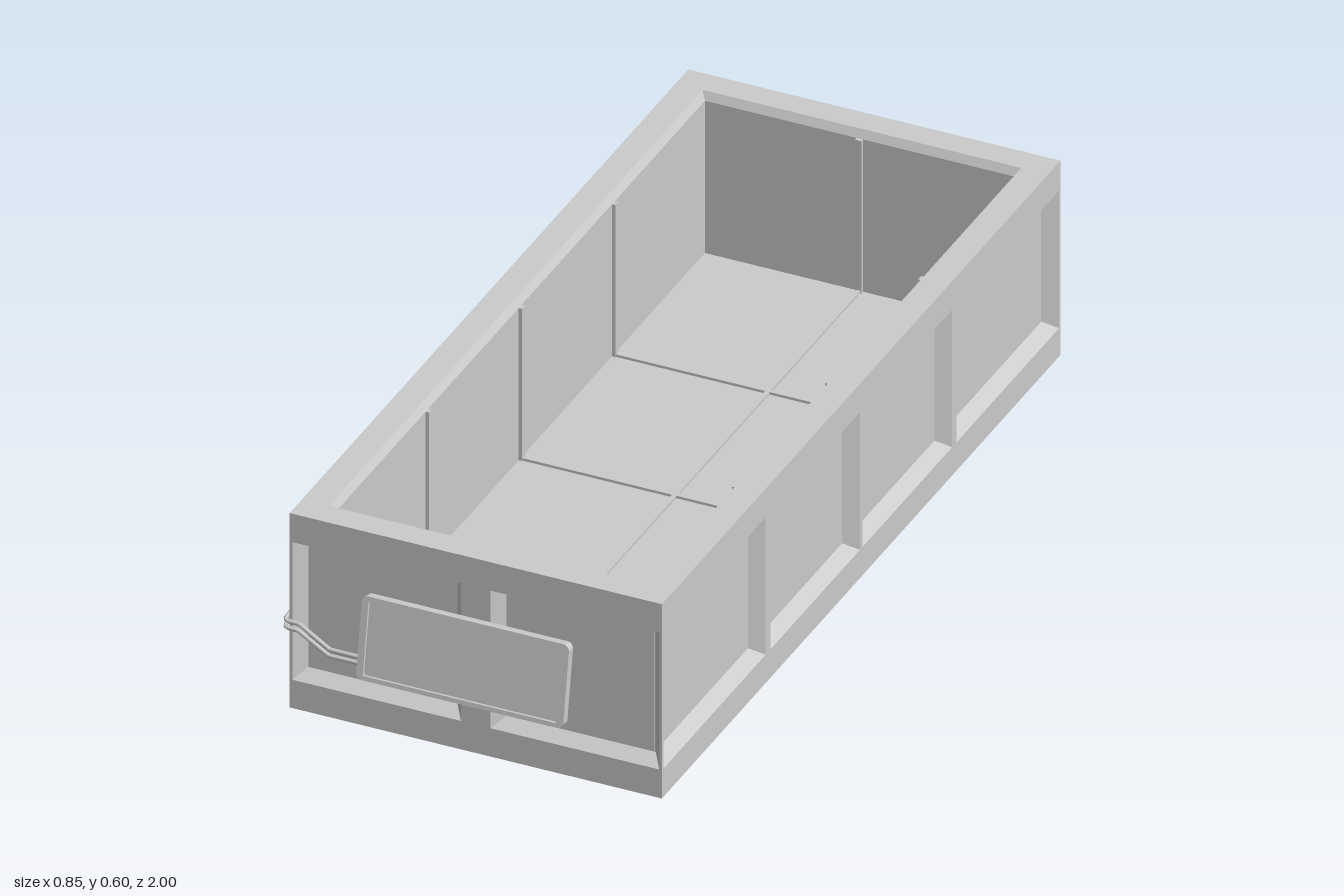
import * as THREE from 'three';
import { toCreasedNormals } from 'three/addons/utils/BufferGeometryUtils.js';

const mat = new THREE.MeshStandardMaterial({ color: 0xcccccc });
const CX = 0.0035, CZ = -0.04, HX = 0.4205, HZ = 0.96, Y0 = 0.137, Y1 = 0.603;

function add(parent, name, geo, x = 0, y = 0, z = 0) {
  const m = new THREE.Mesh(geo, mat);
  m.name = name;
  m.position.set(x, y, z);
  parent.add(m);
  return m;
}

// Nested rectangles [halfWidth, halfHeight, depth] joined by faces and capped, facing +z
function nest(rects) {
  const loops = rects.map(([w, h, d]) => [[-w, -h, d], [w, -h, d], [w, h, d], [-w, h, d]]);
  const pos = [];
  const quad = (a, b, c, d) => pos.push(...a, ...b, ...c, ...a, ...c, ...d);
  for (let k = 0; k + 1 < loops.length; k++) {
    for (let i = 0; i < 4; i++) {
      const j = (i + 1) % 4;
      quad(loops[k][i], loops[k][j], loops[k + 1][j], loops[k + 1][i]);
    }
  }
  quad(...loops[loops.length - 1]);
  const g = new THREE.BufferGeometry();
  g.setAttribute('position', new THREE.Float32BufferAttribute(pos, 3));
  g.computeVertexNormals();
  return g;
}

function rectPath(P, x0, y0, x1, y1) {
  const p = new P();
  p.moveTo(x0, y0).lineTo(x1, y0).lineTo(x1, y1).lineTo(x0, y1).closePath();
  return p;
}

function roundRect(P, w, h, r) {
  const p = new P();
  p.moveTo(-w + r, -h).lineTo(w - r, -h).absarc(w - r, -h + r, r, -Math.PI / 2, 0);
  p.lineTo(w, h - r).absarc(w - r, h - r, r, 0, Math.PI / 2);
  p.lineTo(-w + r, h).absarc(-w + r, h - r, r, Math.PI / 2, Math.PI);
  p.lineTo(-w, -h + r).absarc(-w + r, -h + r, r, Math.PI, Math.PI * 1.5);
  return p;
}

// Outer wall facing +z with bevelled recessed panels between the given x spans
function wall(name, halfW, spans) {
  const g = new THREE.Group();
  g.name = name;
  const lo = 0.205, hi = 0.535;
  const face = rectPath(THREE.Shape, -halfW, Y0, halfW, Y1);
  for (const [a, b] of spans) {
    face.holes.push(rectPath(THREE.Path, a, lo, b, hi));
    const w = (b - a) / 2, h = (hi - lo) / 2;
    add(g, 'recessedPanel', nest([[w, h, 0], [w - 0.022, h - 0.02, -0.03]]), (a + b) / 2, (lo + hi) / 2, 0);
  }
  add(g, 'wallFrame', new THREE.ShapeGeometry(face));
  return g;
}

export function createModel() {
  const model = new THREE.Group();

  // Four panelled outer walls
  const endSpans = [[-0.4145, -0.0335], [0.0335, 0.4145]];
  const sideSpans = [[-0.953, -0.46], [-0.438, -0.006], [0.006, 0.438], [0.46, 0.953]];
  for (let i = 0; i < 4; i++) {
    const end = i % 2 === 0;
    const w = wall(['frontWall', 'leftWall', 'backWall', 'rightWall'][i], end ? HX : HZ, end ? endSpans : sideSpans);
    const a = i * Math.PI / 2, d = end ? HZ : HX;
    w.rotation.y = a;
    w.position.set(CX + Math.sin(a) * d, 0, CZ + Math.cos(a) * d);
    model.add(w);
  }

  // Top rim, inner walls and floor in one shell
  const shell = nest([[HX, HZ, Y1], [0.36, 0.9, Y1], [0.35, 0.89, 0.585], [0.35, 0.89, 0.22]]);
  add(model, 'innerShell', shell.rotateX(-Math.PI / 2), CX, 0, CZ);
  add(model, 'underside', new THREE.PlaneGeometry(HX * 2, HZ * 2).rotateX(Math.PI / 2), CX, Y0, CZ);

  // Ribs inside the bed
  for (const z of [-0.449, 0, 0.449]) {
    add(model, 'floorRib', new THREE.BoxGeometry(0.7, 0.008, 0.01), CX, 0.222, CZ + z);
    for (const s of [-1, 1]) {
      add(model, 'wallRib', new THREE.BoxGeometry(0.016, 0.365, 0.014), CX + s * 0.35, 0.4025, CZ + z);
    }
  }
  add(model, 'floorRib', new THREE.BoxGeometry(0.01, 0.008, 1.78), CX, 0.222, CZ);
  for (const s of [-1, 1]) {
    add(model, 'endRib', new THREE.BoxGeometry(0.014, 0.365, 0.016), CX, 0.4025, CZ + s * 0.89);
  }

  // Round feet
  const profile = [[0, 0.015], [0.225, 0.015], [0.228, 0], [0.248, 0], [0.268, 0.022], [0.256, 0.05],
    [0.24, 0.064], [0.245, 0.074], [0.261, 0.076], [0.261, Y0]].map(([x, y]) => new THREE.Vector2(x, y));
  for (const z of [0.452, -0.463]) {
    add(model, 'foot', toCreasedNormals(new THREE.LatheGeometry(profile, 32), 0.4), 0.005, 0, z);
  }

  // Tilted plate with a raised rim
  const plate = new THREE.Group();
  plate.name = 'plate';
  const rim = roundRect(THREE.Shape, 0.234, 0.093, 0.014);
  rim.holes.push(roundRect(THREE.Path, 0.219, 0.083, 0.004));
  add(plate, 'plateRim', new THREE.ExtrudeGeometry(rim, { depth: 0.02, bevelEnabled: false, curveSegments: 4 }), 0, 0, -0.01);
  add(plate, 'platePanel', new THREE.BoxGeometry(0.444, 0.172, 0.012), 0, 0, -0.003);
  plate.position.set(0.004, 0.389, 0.975);
  plate.rotation.x = -0.17;
  model.add(plate);

  // Two cables running along the right side, round the corner and behind the plate
  const cables = [
    [[-0.423, 0.42, 0.63], [-0.423, 0.395, 0.68], [-0.423, 0.43, 0.75], [-0.423, 0.365, 0.81], [-0.423, 0.354, 0.93],
      [-0.415, 0.352, 0.933], [-0.39, 0.352, 0.933], [-0.32, 0.308, 0.933], [-0.1, 0.306, 0.933], [0.1, 0.306, 0.955]],
    [[-0.423, 0.388, 0.64], [-0.423, 0.385, 0.7], [-0.423, 0.41, 0.75], [-0.423, 0.345, 0.81], [-0.423, 0.338, 0.93],
      [-0.415, 0.336, 0.933], [-0.393, 0.336, 0.933], [-0.322, 0.293, 0.933], [0.13, 0.293, 0.933], [0.145, 0.293, 0.97]],
  ];
  for (const pts of cables) {
    const path = new THREE.CurvePath();
    const v = pts.map((p) => new THREE.Vector3(...p));
    for (let i = 0; i + 1 < v.length; i++) path.add(new THREE.LineCurve3(v[i], v[i + 1]));
    add(model, 'cable', new THREE.TubeGeometry(path, 120, 0.005, 6));
  }
  return model;
}
